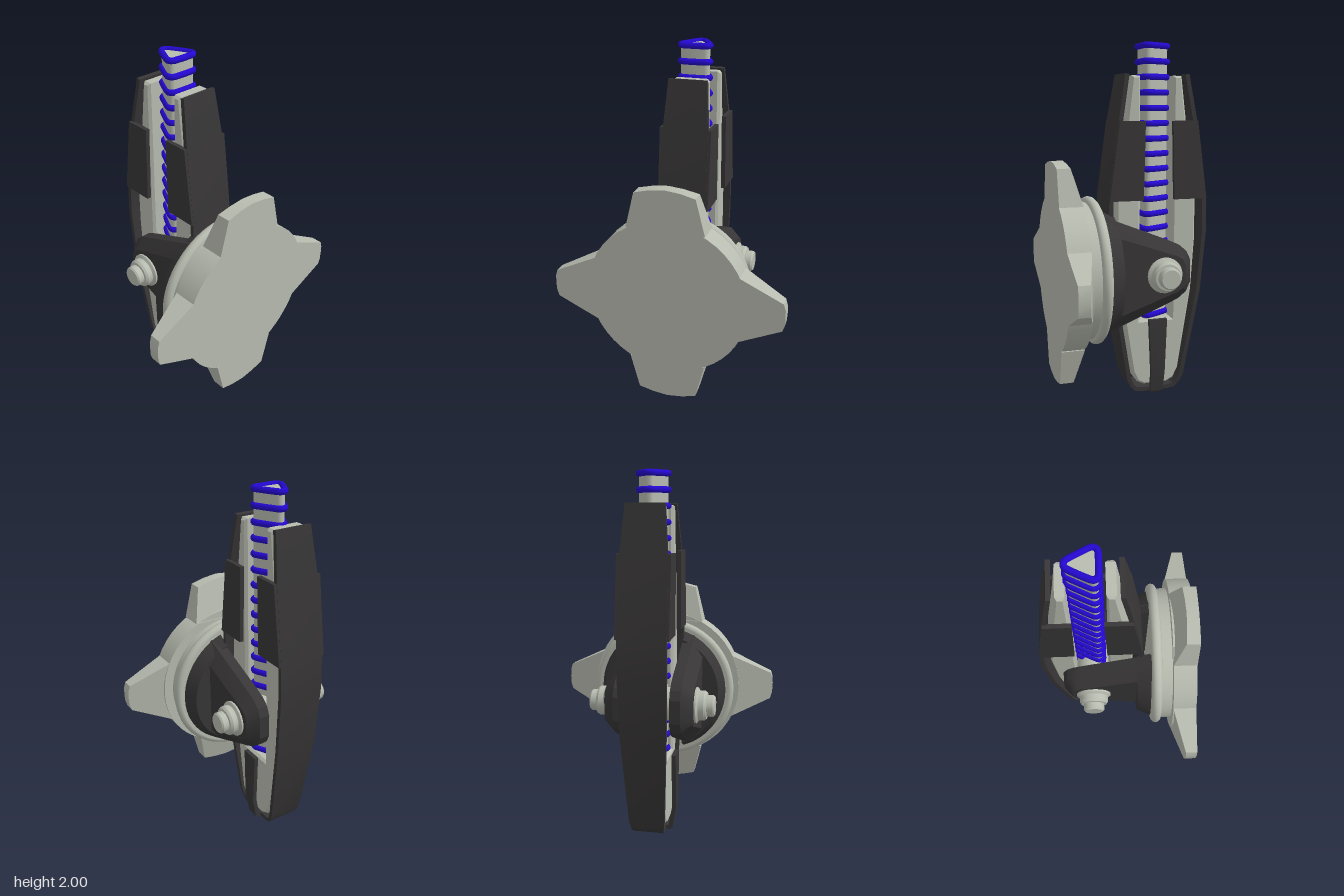
import * as THREE from 'three';
import { toCreasedNormals } from 'three/addons/utils/BufferGeometryUtils.js';

const grey = new THREE.MeshStandardMaterial({ color: 0xb8bcb0 });
const dark = new THREE.MeshStandardMaterial({ color: 0x383636 });
const blue = new THREE.MeshStandardMaterial({ color: 0x2408d0 });
const PY = 0.735; // pivot height
const PZ = -0.145; // pivot depth

// Skin a closed solid over convex rings of [x, y, z], facing outward
function loft(rings, crease = 0.4) {
  const n = rings[0].length, pos = rings.flat(2), tri = [];
  for (let r = 0; r < rings.length - 1; r++) {
    for (let i = 0; i < n; i++) {
      const a = r * n + i, b = r * n + (i + 1) % n;
      tri.push([a, b, b + n], [a, b + n, a + n]);
    }
  }
  const end = (rings.length - 1) * n;
  for (let i = 1; i < n - 1; i++) tri.push([0, i + 1, i], [end, end + i, end + i + 1]);
  const v = (i) => new THREE.Vector3().fromArray(pos, i * 3);
  const volume = tri.reduce((s, [a, b, c]) => s + v(a).dot(v(b).cross(v(c))), 0);
  if (volume < 0) tri.forEach((t) => t.reverse());
  const geo = new THREE.BufferGeometry();
  geo.setAttribute('position', new THREE.Float32BufferAttribute(pos, 3));
  geo.setIndex(tri.flat());
  return toCreasedNormals(geo, crease);
}

// U-shaped band from one side's points [offset, y, halfWidth], mirrored to the other side
function band(side, thickness, place) {
  const path = [...side, ...side.map(([d, y, w]) => [-d, y, w]).reverse()];
  return loft(path.map(([d, y, w], i) => {
    const p = path[Math.max(i - 1, 0)], q = path[Math.min(i + 1, path.length - 1)];
    const len = Math.hypot(q[0] - p[0], q[1] - p[1]);
    const di = d + (q[1] - p[1]) / len * thickness, yi = y - (q[0] - p[0]) / len * thickness;
    return [place(d, y, w), place(d, y, -w), place(di, yi, -w), place(di, yi, w)];
  }));
}

export function createModel() {
  const model = new THREE.Group();
  const add = (name, geo, mat, parent = model) => {
    const mesh = new THREE.Mesh(geo, mat);
    mesh.name = name;
    parent.add(mesh);
    return mesh;
  };

  // Round base, built around the pivot height
  const base = new THREE.Group();
  base.name = 'base';
  base.position.y = PY;
  model.add(base);
  const disc = (name, r, z0, z1) => add(name,
    new THREE.CylinderGeometry(r, r, z1 - z0, 48).rotateX(Math.PI / 2).translate(0, 0, (z0 + z1) / 2), grey, base);
  disc('baseHub', 0.445, 0.305, 0.435);
  disc('baseCollar', 0.39, 0.19, 0.31);
  add('baseRing', new THREE.TorusGeometry(0.391, 0.029, 12, 64).translate(0, 0, 0.218), grey, base);

  // Four lobes, thinning from the back towards their tips
  const wide = [[0.395, 0.215], [0.595, 0.165], [0.615, 0.085], [0.625, 0]];
  const narrow = [[0.4, 0.19], [0.632, 0.08], [0.643, 0.045], [0.645, 0]];
  for (let k = 0; k < 4; k++) {
    const half = k % 2 ? wide : narrow;
    const outline = [...half, ...half.slice(0, -1).reverse().map(([a, w]) => [a, -w])];
    const back = outline.map(([a, w]) => [a, w, 0.305 + (a - 0.4) * 0.28]);
    const front = outline.map(([a, w]) => [a, w, 0.435]);
    add('baseLobe', loft([back, front]), grey, base).rotation.z = k * Math.PI / 2;
  }

  // Bracket: flared foot and bevelled arm on each side
  const armHalf = [[0.19, 0.33], [-0.2, 0.175], [-0.255, 0.15], [-0.295, 0.115], [-0.318, 0.065]];
  const faceHalf = [[0.19, 0.245], [-0.18, 0.115], [-0.225, 0.1], [-0.255, 0.08], [-0.27, 0.045]];
  const ring = (half, x) => [...half, ...half.map(([z, y]) => [z, -y]).reverse()].map(([z, y]) => [x, y, z]);
  const footRing = (r, z) => {
    const a = Math.acos(0.125 / r);
    return Array.from({ length: 25 }, (_, i) => {
      const t = -a + 2 * a * i / 24;
      return [r * Math.cos(t), r * Math.sin(t), z];
    });
  };
  // Stepped pivot bolt end, profile as [radius, x]
  const bolt = [[0.1, 0.2], [0.1, 0.255], [0.083, 0.265], [0.083, 0.295], [0.074, 0.308], [0.06, 0.31],
    [0.06, 0.343], [0.052, 0.352], [0, 0.352]].map(([r, x]) => new THREE.Vector2(r, x));
  for (const s of [1, -1]) {
    const flip = (rings) => rings.map((r) => r.map(([x, y, z]) => [s * x, y, z]));
    add('bracketFoot', loft(flip([footRing(0.375, 0.185), footRing(0.34, 0.11)])), dark, base);
    add('bracketArm', loft(flip([ring(armHalf, 0.125), ring(armHalf, 0.185), ring(faceHalf, 0.245)])), dark, base);
    const end = toCreasedNormals(new THREE.LatheGeometry(bolt, 32).rotateZ(-s * Math.PI / 2), 0.5);
    add('pivotBolt', end, grey, base).position.z = PZ;
  }
  add('pivotBarrel', new THREE.CylinderGeometry(0.094, 0.094, 0.26, 32).rotateZ(Math.PI / 2), grey, base).position.z = PZ;

  // Upright clamp
  const clamp = new THREE.Group();
  clamp.name = 'clamp';
  clamp.position.z = PZ;
  model.add(clamp);
  const bodySide = [[0.095, 0.44], [0.095, 1.82], [0.145, 1.82], [0.175, 1.57], [0.235, 1.14], [0.235, 0.9],
    [0.215, 0.6], [0.14, 0.13], [0.11, 0.07], [0.07, 0.05]];
  const bodyShape = new THREE.Shape([...bodySide, ...bodySide.map(([d, y]) => [-d, y]).reverse()]
    .map(([d, y]) => new THREE.Vector2(d, y)));
  const body = new THREE.ExtrudeGeometry(bodyShape, {
    depth: 0.17, bevelThickness: 0.015, bevelSize: 0.012, bevelOffset: -0.012, bevelSegments: 1,
  }).translate(0, 0, -0.085).rotateY(-Math.PI / 2);
  add('clampBody', toCreasedNormals(body, 0.4), grey, clamp);

  // Long strap over front, bottom and back; short strap over the sides
  const strap = [[0.185, 1.83, 0.105], [0.228, 1.575, 0.125], [0.285, 1.14, 0.132], [0.289, 0.95, 0.132],
    [0.26, 0.6, 0.125], [0.172, 0.09, 0.1], [0.15, 0.04, 0.092], [0.12, 0.012, 0.088], [0.08, 0.004, 0.086]];
  add('longStrap', band(strap, 0.024, (d, y, w) => [w, y, d]), dark, clamp);
  const sideStrap = [[0.142, 0.45, 0.054], [0.145, 0.14, 0.041], [0.122, 0.012, 0.037], [0.11, 0, 0.036]];
  add('sideStrap', band(sideStrap, 0.024, (d, y, w) => [d, y, w]), dark, clamp);

  // Side wings folded back from the strap
  const wing = [[0.08, 1.575], [0.226, 1.575], [0.284, 1.14], [0.09, 1.14]];
  for (const sx of [1, -1]) {
    for (const sz of [1, -1]) {
      const rings = [0.119, 0.143].map((x) => wing.map(([d, y]) => [sx * x, y, sz * d]));
      add('strapWing', loft(rings), dark, clamp);
    }
  }

  // Rounded triangular rod with evenly spaced rings
  const rounded = [];
  [[0.055, 0.04, -30], [-0.055, 0.04, 90], [0, -0.065, 210]].forEach(([x, z, start]) => {
    for (let i = 0; i <= 5; i++) {
      const t = (start + i * 24) * Math.PI / 180;
      rounded.push([x + 0.025 * Math.cos(t), z + 0.025 * Math.sin(t)]);
    }
  });
  add('rod', loft([0.44, 1.985].map((y) => rounded.map(([x, z]) => [x, y, z])), 0.6), grey, clamp);
  const loop = new THREE.CatmullRomCurve3(rounded.map(([x, z]) => new THREE.Vector3(x, 0, z)), true);
  const ringGeo = new THREE.TubeGeometry(loop, 60, 0.017, 10, true);
  for (let i = 0; i < 19; i++) add('rodRing', ringGeo, blue, clamp).position.y = 1.983 - i * 0.0845;

  return model;
}
